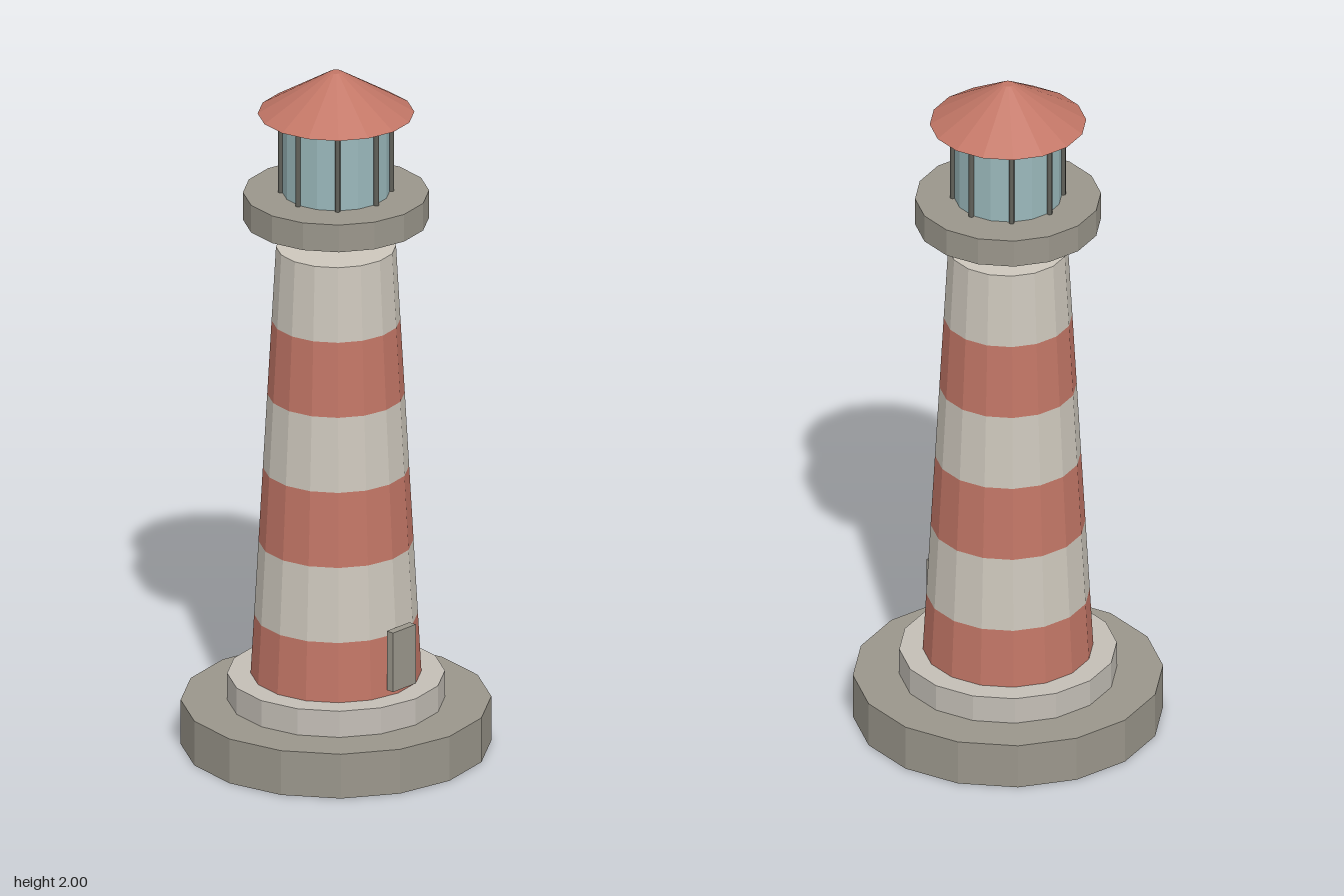
import * as THREE from 'three';

const SIDES = 16;

function makeMaterial(name, color) {
  const m = new THREE.MeshStandardMaterial({ color });
  m.name = name;
  return m;
}

export function createModel() {
  const group = new THREE.Group();
  group.name = 'lighthouse';

  const stone = makeMaterial('stone', 0x9a968b);
  const paleStone = makeMaterial('paleStone', 0xc3beb6);
  const white = makeMaterial('whitePaint', 0xcdc7bc);
  const red = makeMaterial('redPaint', 0xc27666);
  const glass = makeMaterial('glass', 0x9ab8bb);
  const metal = makeMaterial('metal', 0x62625b);

  const add = (name, geometry, material, x = 0, y = 0, z = 0) => {
    const mesh = new THREE.Mesh(geometry, material);
    mesh.name = name;
    mesh.position.set(x, y, z);
    group.add(mesh);
    return mesh;
  };

  // Faceted drum between two heights
  const drum = (name, rBottom, rTop, y0, y1, material, sides = SIDES, open = false) => {
    const smooth = new THREE.CylinderGeometry(rTop, rBottom, y1 - y0, sides, 1, open);
    const flat = smooth.toNonIndexed();
    flat.computeVertexNormals();
    return add(name, flat, material, 0, (y0 + y1) / 2, 0);
  };

  // Foundation
  drum('base', 0.432, 0.432, 0, 0.132, stone);
  drum('step', 0.303, 0.303, 0.132, 0.21, paleStone);

  // Tapering tower in six painted bands, red at the bottom
  const bands = 6, yBottom = 0.165, yTop = 1.48;
  const yAt = (i) => THREE.MathUtils.lerp(yBottom, yTop, i / bands);
  const rAt = (i) => THREE.MathUtils.lerp(0.24, 0.167, i / bands);
  for (let i = 0; i < bands; i++) {
    const top = i === bands - 1;
    drum('towerBand' + (i + 1), rAt(i), rAt(i + 1), yAt(i), yAt(i + 1),
      i % 2 ? white : red, SIDES, !top);
  }

  // Door slab
  add('door', new THREE.BoxGeometry(0.092, 0.176, 0.024), stone, 0, 0.32, 0.249);

  // Gallery deck, separate from the tower top
  drum('gallery', 0.259, 0.259, 1.562, 1.643, stone);

  // Lantern room with eight upright bars
  drum('lanternGlass', 0.15, 0.15, 1.643, 1.88, glass);
  for (let i = 0; i < 8; i++) {
    const a = (i / 8) * Math.PI * 2;
    add('lanternBar' + (i + 1), new THREE.CylinderGeometry(0.008, 0.008, 0.237, 6), metal,
      Math.sin(a) * 0.154, 1.7615, Math.cos(a) * 0.154);
  }

  // Conical roof with a small flat tip
  drum('roof', 0.218, 0.017, 1.878, 2, red);

  return group;
}
